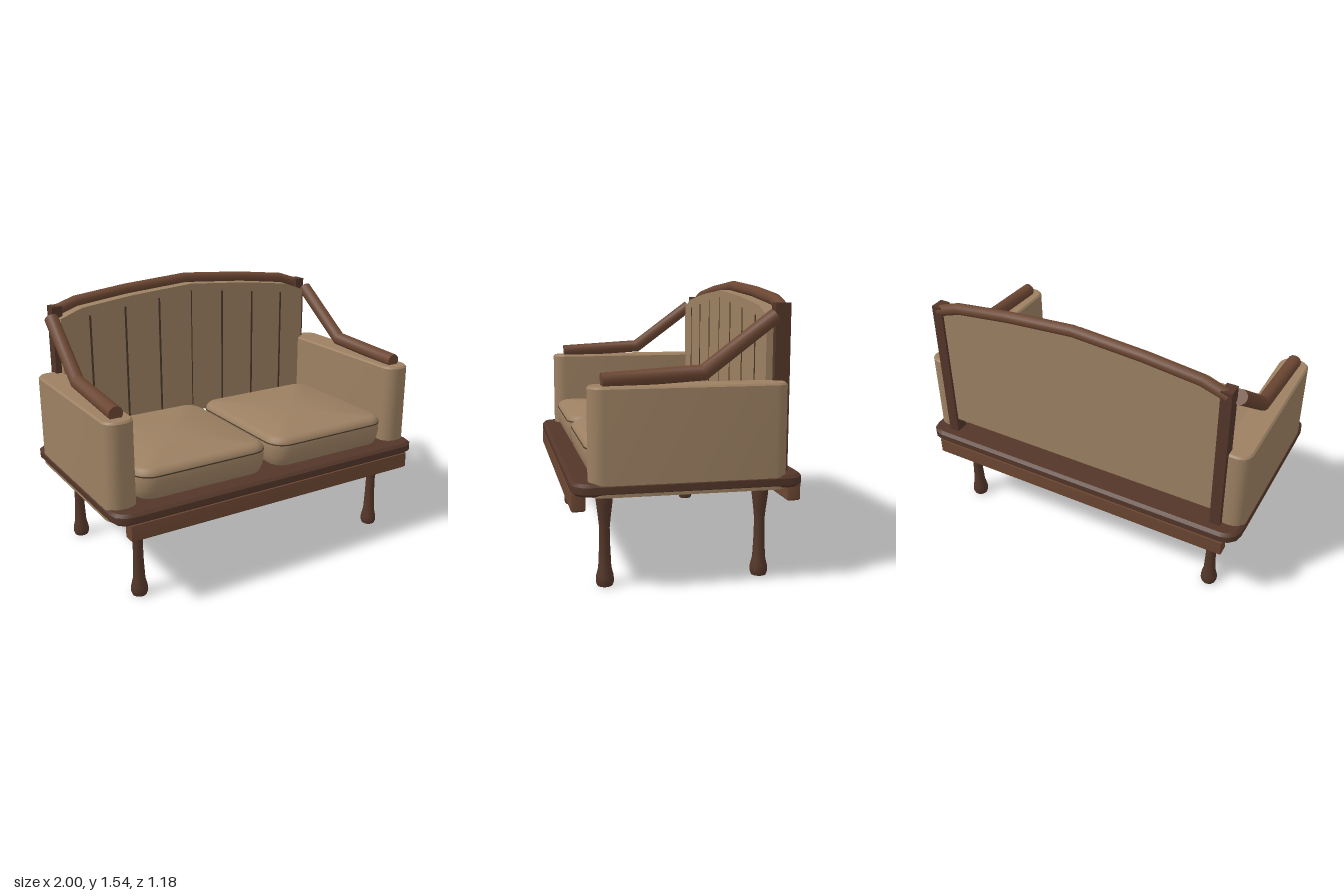
import * as THREE from 'three';
import { toCreasedNormals } from 'three/addons/utils/BufferGeometryUtils.js';

const wood = new THREE.MeshStandardMaterial({ color: 0x6b4632 });
const darkWood = new THREE.MeshStandardMaterial({ color: 0x533629 });
const fabric = new THREE.MeshStandardMaterial({ color: 0x9c8062 });
const seam = new THREE.MeshStandardMaterial({ color: 0x4a3a2a });
const V = (x, y, z) => new THREE.Vector3(x, y, z);

// Closed skin over equal-length rings, with a fan cap at each end
function skin(rings, crease = 0.6) {
  const pos = [];
  const tri = (...pts) => pts.forEach((p) => pos.push(p.x, p.y, p.z));
  const n = rings[0].length;
  const centre = (r) => r.reduce((s, p) => s.add(p), V(0, 0, 0)).divideScalar(n);
  const first = rings[0], last = rings[rings.length - 1];
  const c0 = centre(first), c1 = centre(last);
  for (let j = 0; j < n; j++) {
    const k = (j + 1) % n;
    for (let i = 0; i < rings.length - 1; i++) {
      const a = rings[i], b = rings[i + 1];
      tri(a[j], a[k], b[k]);
      tri(a[j], b[k], b[j]);
    }
    tri(c0, first[k], first[j]);
    tri(c1, last[j], last[k]);
  }
  const g = new THREE.BufferGeometry();
  g.setAttribute('position', new THREE.Float32BufferAttribute(pos, 3));
  return toCreasedNormals(g, crease);
}

// Rounded block: plan w x d with corner radius r, layers of [y, inset]
function roundedBlock(w, d, r, layers, steps = 5) {
  const rings = layers.map(([y, inset]) => {
    const ring = [];
    const rr = Math.max(r - inset, 0.005);
    const hx = w / 2 - inset - rr, hz = d / 2 - inset - rr;
    [[1, -1], [-1, -1], [-1, 1], [1, 1]].forEach(([sx, sz], q) => {
      for (let i = 0; i <= steps; i++) {
        const a = (q + i / steps) * Math.PI / 2;
        ring.push(V(sx * hx + rr * Math.cos(a), y, sz * hz - rr * Math.sin(a)));
      }
    });
    return ring;
  });
  return skin(rings);
}

// Mitred round bar along a path lying in the plane perpendicular to ref
function bar(path, radius, ref, sides = 14) {
  const dirs = path.slice(1).map((p, i) => p.clone().sub(path[i]).normalize());
  const rings = path.map((p, i) => {
    const d = dirs[Math.min(i, dirs.length - 1)];
    const n = d.clone().add(dirs[Math.max(i - 1, 0)]);
    const u = ref.clone().cross(d).normalize();
    const v = d.clone().cross(u);
    return Array.from({ length: sides }, (_, j) => {
      const a = j / sides * Math.PI * 2;
      const o = u.clone().multiplyScalar(Math.cos(a) * radius).addScaledVector(v, Math.sin(a) * radius);
      return o.addScaledVector(d, -o.dot(n) / d.dot(n)).add(p);
    });
  });
  return skin(rings);
}

export function createModel() {
  const group = new THREE.Group();
  const add = (name, geometry, material, x = 0, y = 0, z = 0) => {
    const mesh = new THREE.Mesh(geometry, material);
    mesh.name = name;
    mesh.position.set(x, y, z);
    group.add(mesh);
    return mesh;
  };
  // Box given by its limits
  const box = (name, material, x0, x1, y0, y1, z0, z1) =>
    add(name, new THREE.BoxGeometry(x1 - x0, y1 - y0, z1 - z0), material,
      (x0 + x1) / 2, (y0 + y1) / 2, (z0 + z1) / 2);

  // Seat platform
  add('seatPlatform', roundedBlock(2, 1.18, 0.09,
    [[0.505, 0.018], [0.52, 0], [0.555, 0], [0.57, 0.018]], 3), darkWood);

  // Aprons and cross beams under the platform
  for (const s of [-1, 1]) {
    add(s > 0 ? 'frontApron' : 'backApron',
      roundedBlock(1.85, 0.072, 0.008, [[0.418, 0.008], [0.426, 0], [0.51, 0]], 2), wood, 0, 0, s * 0.554);
    box('crossBeam', wood, s * 0.46 - 0.035, s * 0.46 + 0.035, 0.44, 0.51, -0.52, 0.52);
  }

  // Turned legs
  const legProfile = [[0, 0], [0.04, 0], [0.047, 0.02], [0.045, 0.05], [0.034, 0.095], [0.029, 0.2],
    [0.027, 0.3], [0.033, 0.36], [0.043, 0.44], [0.047, 0.51], [0, 0.51]];
  const leg = toCreasedNormals(new THREE.LatheGeometry(
    legProfile.map(([r, y]) => new THREE.Vector2(r, y)), 16), 0.7);
  for (const x of [-0.81, 0.81]) for (const z of [-0.41, 0.41]) add('leg', leg, darkWood, x, 0, z);

  // Backrest panel with an arched top
  const top = [[0.85, 1.36], [0.72, 1.41], [0.4, 1.45], [0, 1.48]];
  const outline = [[-0.85, 0.655], [0.85, 0.655], ...top,
    ...top.slice(0, -1).reverse().map(([x, y]) => [-x, y])];
  const panel = new THREE.ExtrudeGeometry(
    new THREE.Shape(outline.map(([x, y]) => new THREE.Vector2(x, y))), { depth: 0.1, bevelEnabled: false });
  add('backrest', panel, fabric, 0, 0, -0.515);

  // Vertical seams on the backrest
  for (const [x, y] of [[0, 1.44], [0.222, 1.415], [0.447, 1.388], [0.672, 1.36]])
    for (const s of x ? [-1, 1] : [1])
      box('backrestSeam', seam, s * x - (x ? 0.006 : 0.003), s * x + (x ? 0.006 : 0.003), 0.7, y, -0.42, -0.413);

  // Arched top rail
  const railPath = [[-0.86, 1.39], [-0.72, 1.437], [-0.4, 1.475], [0, 1.504], [0.4, 1.475], [0.72, 1.437], [0.86, 1.39]];
  add('topRail', bar(railPath.map(([x, y]) => V(x, y, -0.502)), 0.032, V(0, 0, 1)), wood);

  for (const s of [-1, 1]) {
    // Back post
    box('backPost', darkWood, s * 0.855 - 0.03, s * 0.855 + 0.03, 0.56, 1.425, -0.53, -0.45);

    // Upholstered arm
    add('arm', roundedBlock(0.168, 1.005, 0.07,
      [[0.5, 0], [1.025, 0], [1.035, 0.01]]), fabric, s * 0.912, 0, 0.002);

    // Bent arm rail rising to the back post
    add('armRail', bar([V(s * 0.912, 1.058, 0.435), V(s * 0.904, 1.087, -0.075), V(s * 0.894, 1.362, -0.445)],
      0.04, V(1, 0, 0)), wood);

    // Seat cushion and its piping
    const cushion = [[0.565, 0.028], [0.59, 0.014], [0.62, 0.005], [0.66, 0], [0.7, 0.002],
      [0.715, 0.006], [0.73, 0.018], [0.74, 0.04]];
    add('cushion', roundedBlock(0.81, 0.86, 0.11, cushion, 7), fabric, s * 0.422, 0, 0.07);
    add('cushionPiping', roundedBlock(0.812, 0.862, 0.11, [[0.697, 0.001], [0.703, 0.001]], 7),
      seam, s * 0.422, 0, 0.07);
  }
  return group;
}
